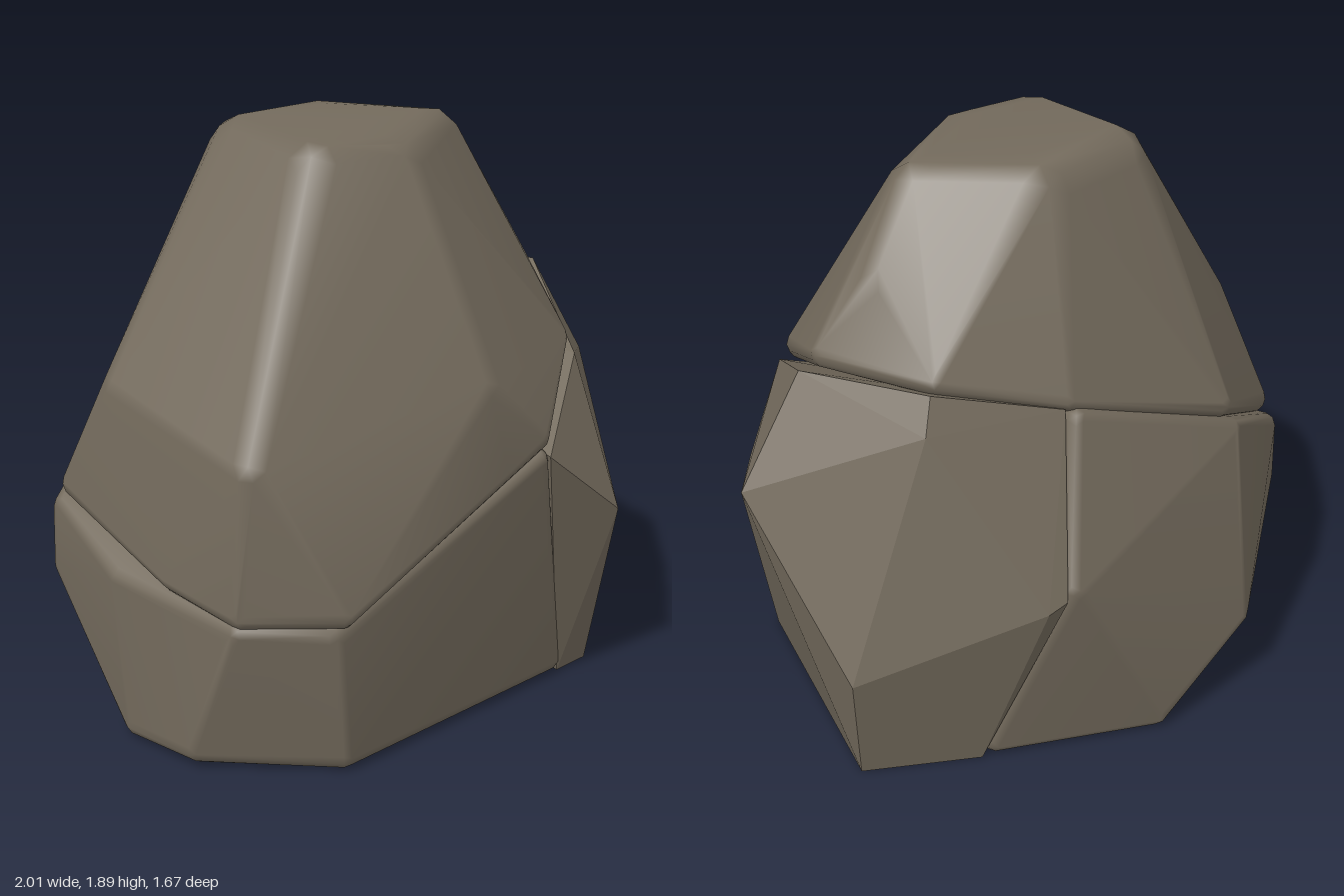
import * as THREE from 'three';
import { ConvexGeometry } from 'three/addons/geometries/ConvexGeometry.js';
import { mergeVertices } from 'three/addons/utils/BufferGeometryUtils.js';

const stone = new THREE.MeshStandardMaterial({ color: 0x736a5c });
stone.name = 'warmGreyStone';

// Sharp faceted chunk from its corner points
function facetedRock(name, corners) {
  const geometry = new ConvexGeometry(corners.map((c) => new THREE.Vector3(...c)));
  const mesh = new THREE.Mesh(geometry, stone);
  mesh.name = name;
  return mesh;
}

// Worn chunk: a small ball sits inside each corner, and the hull of all balls is shaded smoothly
function wornRock(name, rings) {
  const corners = rings.flatMap(({ radius, points }) =>
    points.map((p) => ({ p: new THREE.Vector3(...p), radius })));
  const centre = new THREE.Vector3();
  corners.forEach(({ p }) => centre.addScaledVector(p, 1 / corners.length));
  const ball = mergeVertices(new THREE.IcosahedronGeometry(1, 1).deleteAttribute('uv').deleteAttribute('normal'));
  const dots = ball.getAttribute('position');
  const cloud = [];
  corners.forEach(({ p, radius }, n) => {
    const inward = centre.clone().sub(p).normalize();
    const middle = p.clone().addScaledVector(inward, radius * 1.25);
    middle.y = Math.max(middle.y, radius);
    // each ball is turned differently so that no two share a plane
    const turn = new THREE.Euler(0.37 + n * 0.71, 0.53 + n * 1.13, 0.29 + n * 0.47);
    for (let i = 0; i < dots.count; i++) {
      cloud.push(new THREE.Vector3().fromBufferAttribute(dots, i).applyEuler(turn).multiplyScalar(radius).add(middle));
    }
  });
  let geometry = new ConvexGeometry(cloud);
  geometry.deleteAttribute('normal');
  geometry = mergeVertices(geometry, 1e-4);
  geometry.computeVertexNormals();
  const mesh = new THREE.Mesh(geometry, stone);
  mesh.name = name;
  return mesh;
}

export function createModel() {
  const group = new THREE.Group();
  group.name = 'splitBoulder';

  // Tall upper block: crown, shoulders, then the sloping split edge
  group.add(wornRock('upperRock', [
    { radius: 0.13, points: [
      [-0.27, 1.9, -0.29], [0.15, 1.89, -0.26], [0.38, 1.87, 0.1], [-0.12, 1.88, 0.31], [-0.39, 1.89, 0.17],
      [0.6, 1.58, 0.08],
    ] },
    { radius: 0.09, points: [
      [-0.87, 1.07, -0.3], [-0.98, 0.94, 0.41], [-0.14, 1.09, 0.74],
    ] },
    { radius: 0.05, points: [
      [-0.86, 0.71, -0.49], [-0.3, 1.0, -0.7], [0.3, 1.21, -0.49], [0.63, 1.32, -0.2], [0.72, 1.33, 0.2],
      [0.46, 1.13, 0.58], [0.08, 0.89, 0.77], [-0.1, 0.82, 0.75], [-0.79, 0.5, 0.62], [-0.99, 0.5, 0.38],
      [-1.0, 0.56, 0.1],
    ] },
  ]));

  // Low block under the split, tapering in at the back toward the ground
  group.add(wornRock('lowerRock', [
    { radius: 0.05, points: [
      [-1.0, 0.48, 0.39], [-0.8, 0.47, 0.62], [0.08, 0.86, 0.77], [0.3, 1.18, -0.5],
      [-0.3, 0.96, -0.72], [-0.86, 0.67, -0.54], [-1.0, 0.54, -0.13],
      [0.49, 0.68, -0.65], [-0.22, 0.28, -0.85], [-0.87, 0.45, -0.54],
      [-1.01, 0.03, 0.22], [-0.72, 0, 0.6], [0.33, 0, 0.67], [0.61, 0, -0.41], [0.15, 0, -0.76], [-0.98, 0, -0.09],
    ] },
  ]));

  // Sharp side block leaning against the other two
  group.add(facetedRock('sideRock', [
    [0.08, 0.85, 0.77], [0.46, 1.08, 0.6], [0.76, 1.29, 0.22], [0.66, 1.31, -0.23], [0.72, 1.2, -0.26],
    [0.3, 1.19, -0.47], [0.4, 0.6, 0.83], [0.98, 0.93, 0.28], [1.0, 0.4, -0.18],
    [0.57, 0.63, -0.62], [0.5, 0.65, -0.64],
    [0.32, 0, 0.66], [0.47, 0, 0.67], [0.92, 0, -0.13], [0.62, 0, -0.39],
  ]));
  return group;
}
